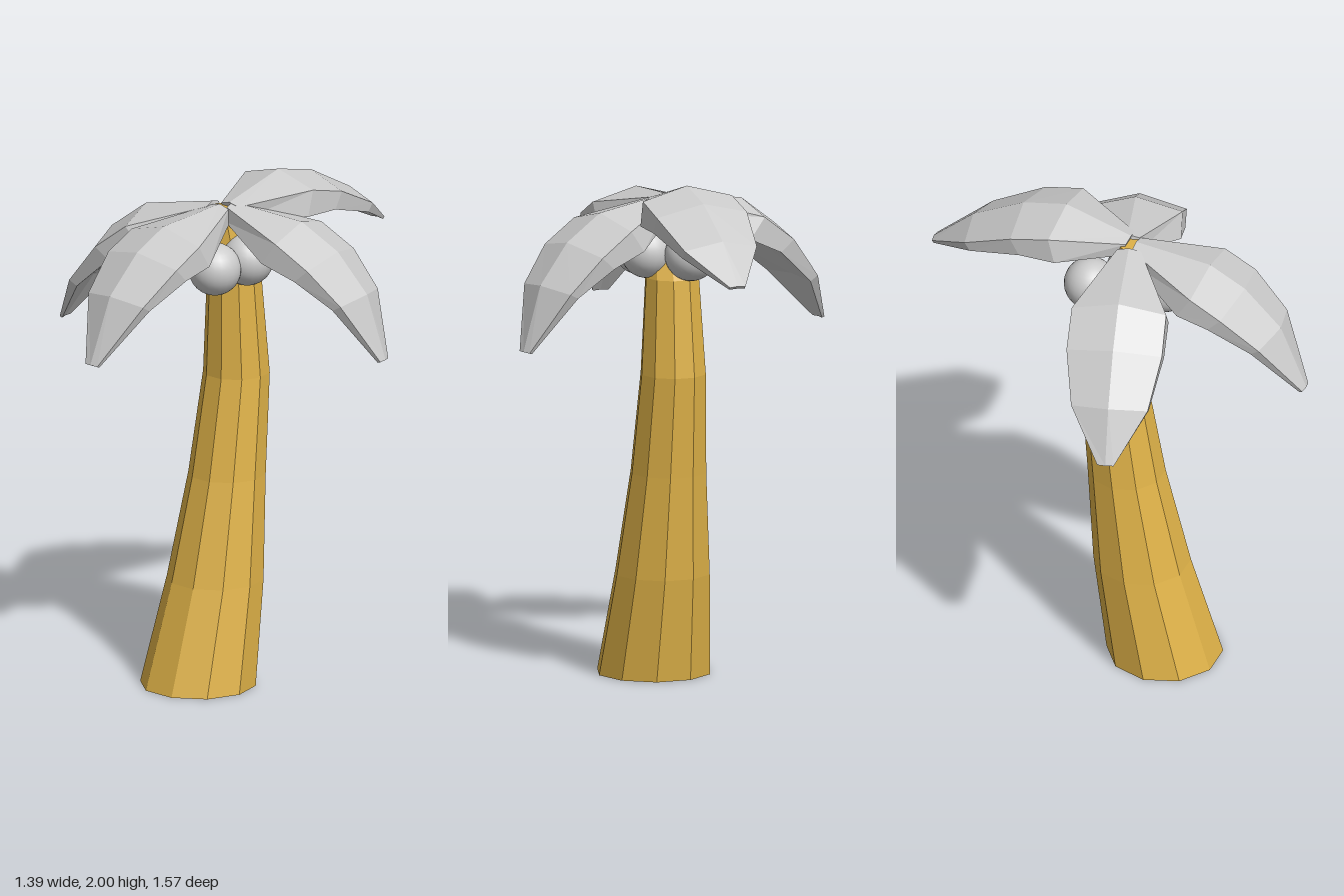
import * as THREE from 'three';

const bark = new THREE.MeshStandardMaterial({ color: 0xdfb248 });
bark.name = 'golden bark';
const pale = new THREE.MeshStandardMaterial({ color: 0xcccccc });
pale.name = 'pale grey';

// Facet a geometry so every face has its own normal
function faceted(geometry) {
  const g = geometry.index ? geometry.toNonIndexed() : geometry;
  g.computeVertexNormals();
  return g;
}

// Ten-sided trunk: each ring is [y, radius, centre z], base to top
function makeTrunk() {
  const rings = [[0, 0.227, 0.19], [0.41, 0.19, 0.095], [0.82, 0.152, 0.03],
    [1.22, 0.131, -0.022], [1.6, 0.108, -0.01], [1.9, 0.052, 0.055]];
  const g = new THREE.CylinderGeometry(1, 1, 1, 10, rings.length - 1, false, Math.PI / 10);
  const p = g.attributes.position;
  for (let i = 0; i < p.count; i++) {
    const [y, r, z] = rings[Math.round((p.getY(i) + 0.5) * (rings.length - 1))];
    p.setXYZ(i, p.getX(i) * r + 0.012, y, p.getZ(i) * r + z);
  }
  const mesh = new THREE.Mesh(faceted(g), bark);
  mesh.name = 'trunk';
  return mesh;
}

// Frond growing along +z: ridge is a list of [distance, height]
function makeFrond(ridge) {
  const halfWidth = [0.047, 0.185, 0.187, 0.15, 0.032];
  const edgeDrop = [0.012, 0.05, 0.05, 0.04, 0.006];
  const depth = [0.07, 0.15, 0.125, 0.08, 0.018];
  const slide = [0, 0.035, 0.01, 0, 0]; // lower edge set back towards the root
  const points = [];
  const index = [];
  const last = ridge.length - 1;
  ridge.forEach(([z, y], i) => {
    // Sections stand square to the bending ridge
    const a = ridge[Math.max(i - 1, 0)];
    const b = ridge[Math.min(i + 1, last)];
    const angle = Math.atan2(b[1] - a[1], b[0] - a[0]);
    const put = (x, drop, back = 0) => points.push(x,
      y - drop * Math.cos(angle) - back * Math.sin(angle),
      z + drop * Math.sin(angle) - back * Math.cos(angle));
    const w = halfWidth[i];
    put(0, 0);
    put(w, edgeDrop[i]);
    put(w, depth[i], slide[i]);
    put(0, depth[i] * 0.8, slide[i]);
    put(-w, depth[i], slide[i]);
    put(-w, edgeDrop[i]);
  });
  for (let i = 0; i < last; i++) {
    for (let k = 0; k < 6; k++) {
      const a = i * 6 + k;
      const b = i * 6 + (k + 1) % 6;
      index.push(a, a + 6, b + 6, a, b + 6, b);
    }
  }
  // End caps
  const e = last * 6;
  for (let k = 1; k < 5; k++) index.push(0, k, k + 1, e, e + k + 1, e + k);
  const g = new THREE.BufferGeometry();
  g.setAttribute('position', new THREE.Float32BufferAttribute(points, 3));
  g.setIndex(index);
  return new THREE.Mesh(faceted(g), pale);
}

export function createModel() {
  const tree = new THREE.Group();
  tree.name = 'palmTree';
  tree.add(makeTrunk());

  // Four drooping fronds: heading in degrees, root position, ridge line
  const fronds = [
    ['frontFrond', 0, 0.012, 0.05, [[0.02, 1.915], [0.33, 1.887], [0.475, 1.812], [0.625, 1.665], [0.732, 1.41]]],
    ['leftFrond', 106, 0, 0.035, [[0.04, 1.92], [0.345, 1.882], [0.505, 1.783], [0.635, 1.628], [0.717, 1.375]]],
    ['rightFrond', -76, 0, 0.05, [[0.04, 1.915], [0.34, 1.862], [0.495, 1.748], [0.633, 1.568], [0.717, 1.357]]],
    ['backFrond', 180, 0.035, 0.05, [[0.01, 1.92], [0.28, 2.0], [0.46, 1.96], [0.67, 1.85], [0.835, 1.703]]],
  ];
  for (const [name, heading, x, z, ridge] of fronds) {
    const frond = makeFrond(ridge);
    frond.name = name;
    frond.position.set(x, 0, z);
    frond.rotation.y = THREE.MathUtils.degToRad(heading);
    tree.add(frond);
  }

  // Coconuts clustered under the crown
  const nut = new THREE.SphereGeometry(0.103, 24, 16);
  [[0.08, 1.685, 0.165], [0.108, 1.7, 0.015], [-0.03, 1.7, -0.105]].forEach((at, i) => {
    const mesh = new THREE.Mesh(nut, pale);
    mesh.name = 'coconut' + (i + 1);
    mesh.position.set(...at);
    tree.add(mesh);
  });
  return tree;
}
